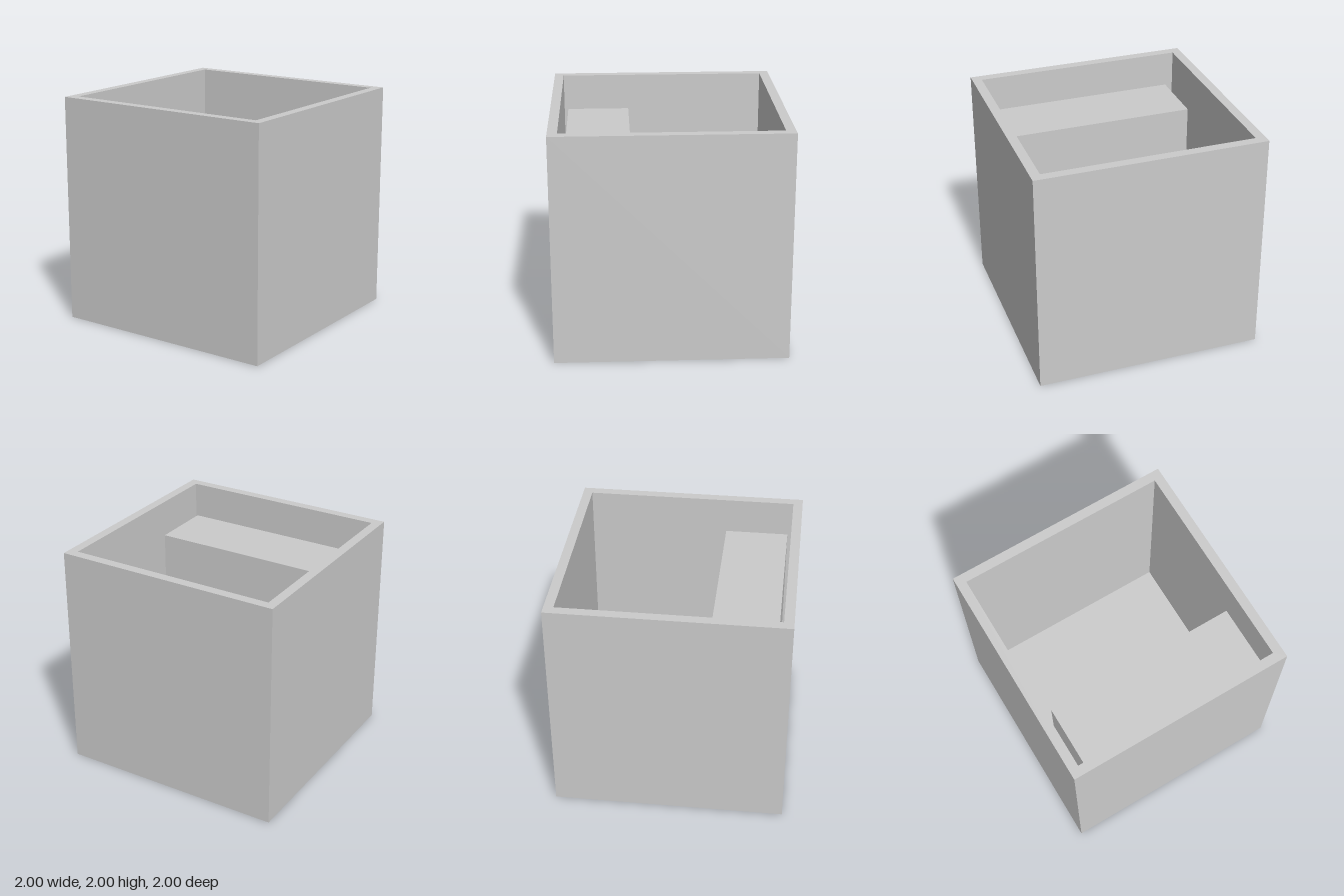
import * as THREE from 'three';

const WALL = 0.083;

export function createModel() {
  const model = new THREE.Group();
  const material = new THREE.MeshStandardMaterial({ color: 0xcccccc, flatShading: true });

  // Open-topped square container: wall and floor profile turned in four sides
  const outer = Math.SQRT2;
  const inner = (1 - WALL) * Math.SQRT2;
  const profile = [
    [0, 0], [outer, 0], [outer, 2], [inner, 2], [inner, WALL], [0, WALL],
  ].map(([r, y]) => new THREE.Vector2(r, y));
  const shell = new THREE.LatheGeometry(profile, 4, Math.PI / 4).toNonIndexed();
  shell.computeVertexNormals();
  const container = new THREE.Mesh(shell, material);
  container.name = 'container';
  model.add(container);

  // Tall block standing on the floor beside the right wall
  const [x0, x1, z0, z1, top] = [-0.88, -0.32, -0.835, 0.88, 1.7];
  const block = new THREE.Mesh(new THREE.BoxGeometry(x1 - x0, top - WALL, z1 - z0), material);
  block.position.set((x0 + x1) / 2, (top + WALL) / 2, (z0 + z1) / 2);
  block.name = 'innerBlock';
  model.add(block);

  return model;
}
